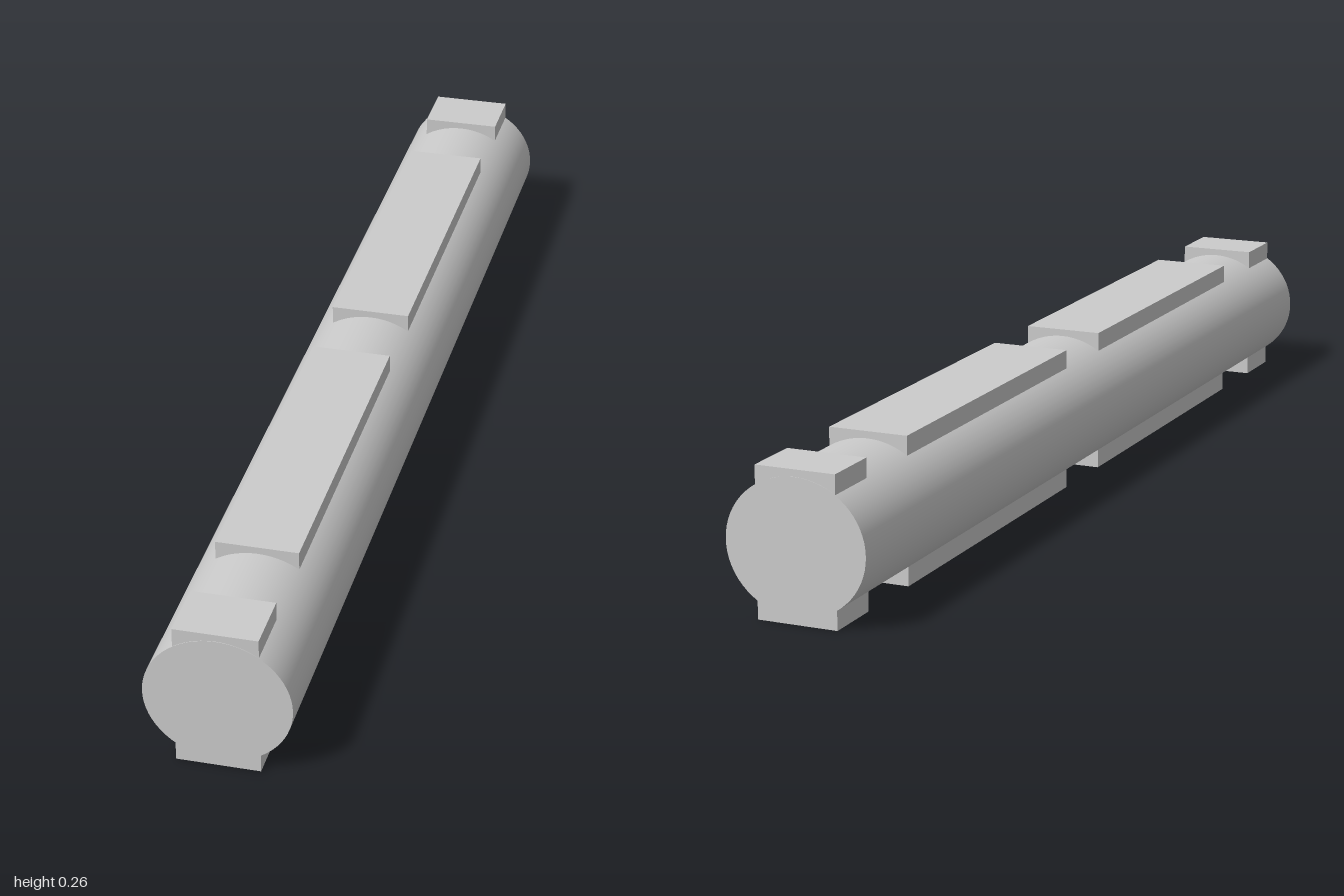
import * as THREE from 'three';

export function createModel() {
  const model = new THREE.Group();
  const material = new THREE.MeshStandardMaterial({ color: 0xcccccc });
  const midY = 0.1315;

  // Slightly flattened round shaft, lying along z
  const shaftGeometry = new THREE.CylinderGeometry(1, 1, 2, 64);
  shaftGeometry.rotateX(Math.PI / 2);
  shaftGeometry.scale(0.128, 0.119, 1);
  const shaft = new THREE.Mesh(shaftGeometry, material);
  shaft.name = 'shaft';
  shaft.position.y = midY;
  model.add(shaft);

  // Flat pads on the top and underside: short at the ends, long in between
  const inner = 0.095;
  const pads = [
    ['endPad', 0.888, 0.999],
    ['longPad', 0.075, 0.74],
  ];
  for (const [name, z0, z1] of pads) {
    const geometry = new THREE.BoxGeometry(0.146, midY - inner, z1 - z0);
    for (const side of [1, -1]) {
      for (const end of [1, -1]) {
        const pad = new THREE.Mesh(geometry, material);
        pad.name = name;
        pad.position.set(-0.001, midY + side * (midY + inner) / 2, end * (z0 + z1) / 2);
        model.add(pad);
      }
    }
  }
  return model;
}
